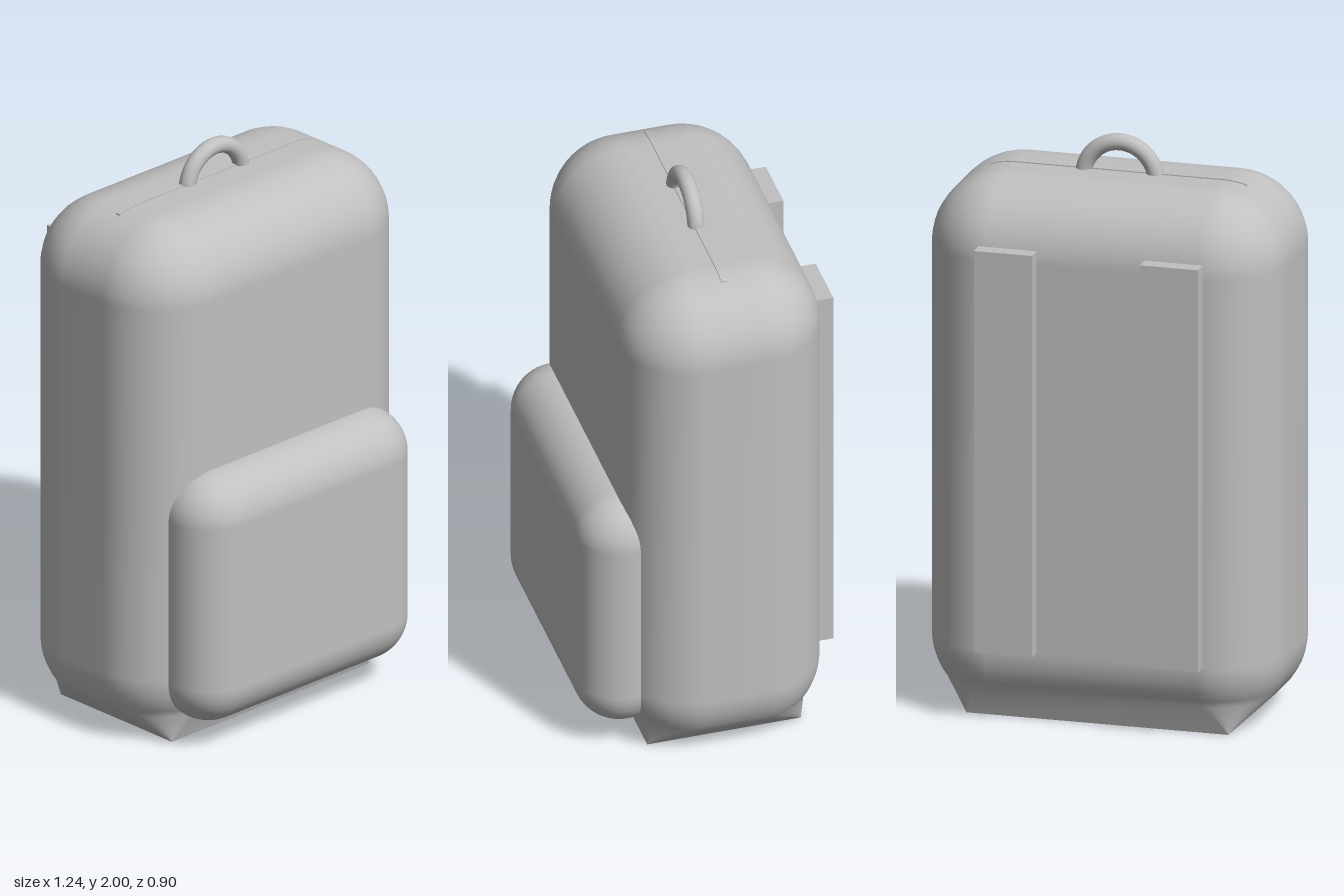
import * as THREE from 'three';
import { RoundedBoxGeometry } from 'three/addons/geometries/RoundedBoxGeometry.js';

const CENTRE_Z = -0.0475;
const CORNER_STEPS = 10;

// Points of a rounded rectangle in the xz plane, in one loop
function ring(y, hx, hz, r) {
  const points = [];
  [[1, 1], [-1, 1], [-1, -1], [1, -1]].forEach(([sx, sz], corner) => {
    for (let i = 0; i <= CORNER_STEPS; i++) {
      const a = (corner + i / CORNER_STEPS) * Math.PI / 2;
      points.push([sx * (hx - r) + r * Math.cos(a), y, sz * (hz - r) + r * Math.sin(a)]);
    }
  });
  return points;
}

// Skin over a stack of loops, with flat caps that keep their own normals
function loft(rings) {
  const n = rings[0].length;
  const positions = rings.flat(2);
  const index = [];
  for (let k = 0; k < rings.length - 1; k++) {
    for (let i = 0; i < n; i++) {
      const a = k * n + i, b = k * n + (i + 1) % n;
      index.push(a, a + n, b, b, a + n, b + n);
    }
  }
  for (const [loop, up] of [[rings[0], false], [rings[rings.length - 1], true]]) {
    const start = positions.length / 3;
    positions.push(...loop.flat(), 0, loop[0][1], 0);
    for (let i = 0; i < n; i++) {
      const a = start + i, b = start + (i + 1) % n;
      index.push(start + n, up ? b : a, up ? a : b);
    }
  }
  const geometry = new THREE.BufferGeometry();
  geometry.setAttribute('position', new THREE.Float32BufferAttribute(positions, 3));
  geometry.setIndex(index);
  geometry.computeVertexNormals();
  return geometry;
}

// Bag body: rounded shoulders, with a base that tapers to a sharp rectangle
function bodyGeometry() {
  const R = 0.25, innerX = 0.37, innerZ = 0.1025, top = 1.87;
  const rounded = (y, a) => {
    const r = Math.max(R * Math.cos(a), 0.0005);
    return ring(y, innerX + r, innerZ + r, r);
  };
  const rings = [ring(0, 0.46, 0.27, 0)];
  for (let i = 5; i >= 0; i--) {
    const a = 0.65 * i / 5;
    rings.push(rounded(R - R * Math.sin(a), a));
  }
  for (let i = 0; i <= 12; i++) {
    const a = Math.PI / 2 * i / 12;
    rings.push(rounded(top - R + R * Math.sin(a), a));
  }
  return loft(rings);
}

// Narrow strip that follows the curve of the top
function seamGeometry() {
  const shape = new THREE.Shape();
  const topY = x => Math.abs(x) < 0.37 ? 1.87 : 1.62 + Math.sqrt(0.0625 - (Math.abs(x) - 0.37) ** 2);
  const xs = [-0.45, -0.43, -0.41, -0.39, -0.37, 0.37, 0.39, 0.41, 0.43, 0.45];
  shape.moveTo(-0.45, 1.84);
  shape.lineTo(0.45, 1.84);
  xs.slice().reverse().forEach(x => shape.lineTo(x, topY(x) + 0.004));
  shape.closePath();
  return new THREE.ExtrudeGeometry(shape, { depth: 0.018, bevelEnabled: false });
}

export function createModel() {
  const model = new THREE.Group();
  model.name = 'backpack';
  const fabric = new THREE.MeshStandardMaterial({ color: 0xc0c0c0 });
  fabric.name = 'grey fabric';

  const add = (name, geometry, x, y, z) => {
    const mesh = new THREE.Mesh(geometry, fabric);
    mesh.name = name;
    mesh.position.set(x, y, z);
    model.add(mesh);
    return mesh;
  };

  add('body', bodyGeometry(), 0, 0, CENTRE_Z);
  add('frontPocket', new RoundedBoxGeometry(1.03, 0.915, 0.32, 8, 0.159), 0, 0.5425, 0.29);
  add('topSeam', seamGeometry(), 0, 0, -0.059);

  // Carrying loop, its ends sunk into the top
  add('handle', new THREE.TorusGeometry(0.127, 0.029, 16, 32, Math.PI), 0, 1.844, -0.05);

  // Pair of flat back straps
  for (const side of [1, -1]) {
    add(side > 0 ? 'leftStrap' : 'rightStrap',
      new THREE.BoxGeometry(0.205, 1.415, 0.09), side * 0.2915, 0.9625, -0.407);
  }
  return model;
}
